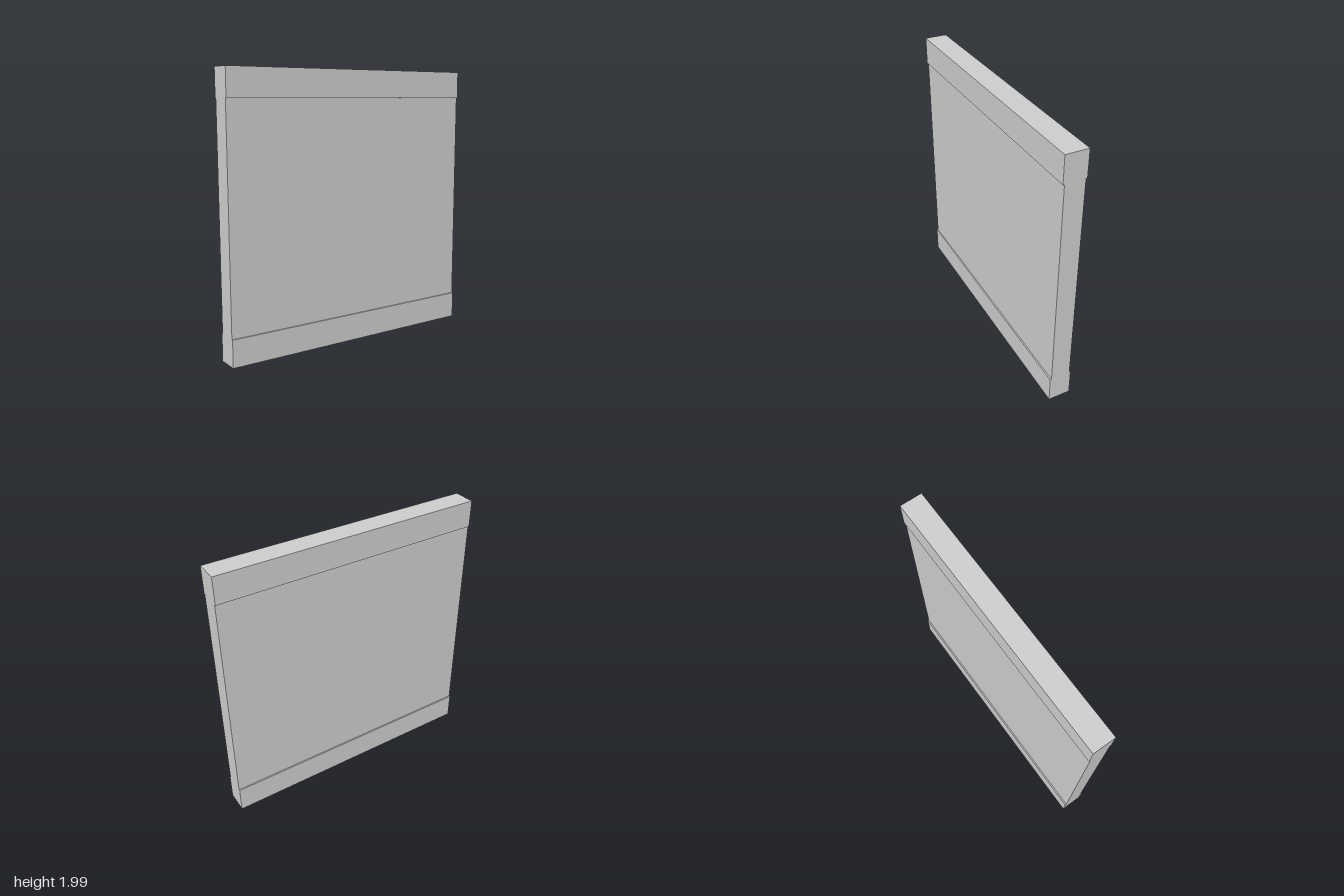
import * as THREE from 'three';

const WIDTH = 2;
const HEIGHT = 1.993;
const RAIL_HEIGHT = 0.198;
const RAIL_DEPTH = 0.165;
const PANEL_DEPTH = 0.145;

export function createModel() {
  const group = new THREE.Group();
  group.name = 'wallPanel';
  const material = new THREE.MeshStandardMaterial({ color: 0xcccccc, flatShading: true });

  // Full-width slab standing between two heights
  const addSlab = (name, bottom, top, depth) => {
    const mesh = new THREE.Mesh(new THREE.BoxGeometry(WIDTH, top - bottom, depth), material);
    mesh.name = name;
    mesh.position.y = (bottom + top) / 2;
    group.add(mesh);
  };

  // Thicker rails above and below a slightly recessed wall
  addSlab('bottomRail', 0, RAIL_HEIGHT, RAIL_DEPTH);
  addSlab('wall', RAIL_HEIGHT, HEIGHT - RAIL_HEIGHT, PANEL_DEPTH);
  addSlab('topRail', HEIGHT - RAIL_HEIGHT, HEIGHT, RAIL_DEPTH);

  return group;
}
